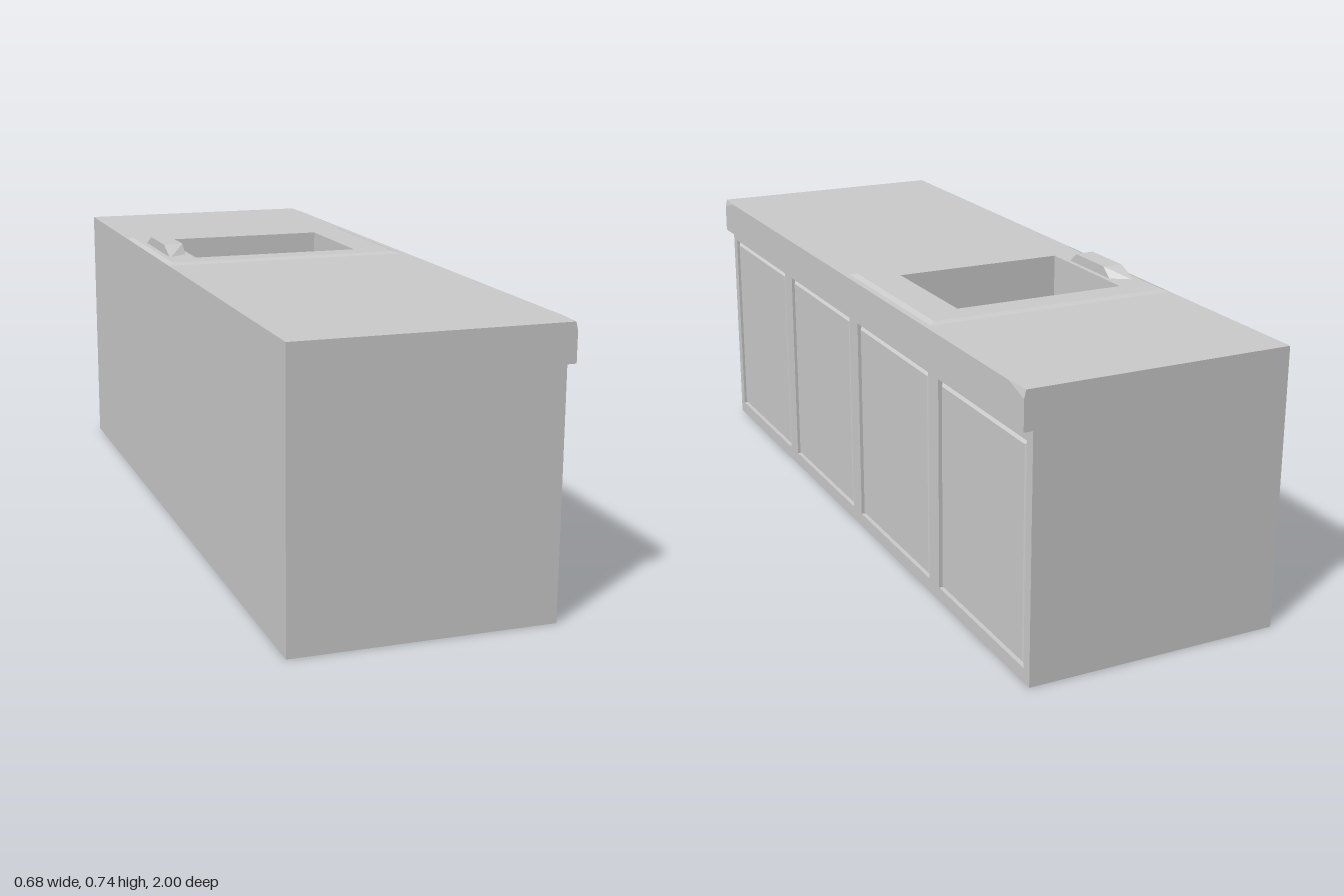
import * as THREE from 'three';
import { ConvexGeometry } from 'three/addons/geometries/ConvexGeometry.js';

const material = new THREE.MeshStandardMaterial({ color: 0xcccccc, flatShading: true });

function add(parent, name, geometry) {
  const mesh = new THREE.Mesh(geometry, material);
  mesh.name = name;
  parent.add(mesh);
  return mesh;
}

// Rectangle outline, as a Shape or as a hole Path
function rect(x0, x1, y0, y1, Type = THREE.Shape) {
  return new Type([[x0, y0], [x1, y0], [x1, y1], [x0, y1]].map(p => new THREE.Vector2(...p)));
}

// Surface stepping through nested rectangles [x0, x1, y0, y1, z]; the innermost is closed
function nestedRects(rings) {
  const pos = [];
  const corners = ([x0, x1, y0, y1, z]) => [[x0, y0, z], [x1, y0, z], [x1, y1, z], [x0, y1, z]];
  const quad = (a, b, c, d) => pos.push(...a, ...b, ...c, ...a, ...c, ...d);
  for (let r = 0; r < rings.length - 1; r++) {
    const o = corners(rings[r]), i = corners(rings[r + 1]);
    for (let k = 0; k < 4; k++) quad(o[k], o[(k + 1) % 4], i[(k + 1) % 4], i[k]);
  }
  quad(...corners(rings[rings.length - 1]));
  const g = new THREE.BufferGeometry();
  g.setAttribute('position', new THREE.Float32BufferAttribute(pos, 3));
  g.computeVertexNormals();
  return g;
}

export function createModel() {
  const model = new THREE.Group();
  model.name = 'sinkCounter';
  const back = -0.341, core = 0.3, face = 0.318, lip = 0.341;
  const top = 0.711, lipBottom = 0.615, coreTop = 0.58;

  // Cabinet body
  const body = new THREE.BoxGeometry(core - back, coreTop, 2);
  body.translate((core + back) / 2, coreTop / 2, 0);
  add(model, 'cabinetBody', body);

  // Countertop with an opening for the basin
  const sink = [-0.245, 0.215, 0.08, 0.42];
  const slab = rect(back, core, -1, 1);
  slab.holes.push(rect(...sink, THREE.Path));
  const counter = new THREE.ExtrudeGeometry(slab, { depth: top - coreTop, bevelEnabled: false });
  counter.rotateX(-Math.PI / 2).translate(0, coreTop, 0);
  add(model, 'countertop', counter);

  // Overhanging front lip with clipped end corners
  const lipPoints = [];
  for (const s of [-1, 1]) {
    for (const p of [[core, lipBottom, 1], [core, top, 1], [lip, lipBottom, 1],
      [lip, 0.69, 1], [0.336, top, 1], [lip, top, 0.93]]) {
      lipPoints.push(new THREE.Vector3(p[0], p[1], s * p[2]));
    }
  }
  add(model, 'counterLip', new ConvexGeometry(lipPoints));

  // Raised sink surround, stepping down into the basin
  const surround = nestedRects([
    [back, 0.325, 0, 0.505, top],
    [back + 0.015, 0.31, 0.015, 0.49, 0.716],
    [...sink, 0.716],
    [...sink, 0.585]
  ]);
  add(model, 'sinkBasin', surround.rotateX(-Math.PI / 2));

  // Face frame and its four grooved, bevelled door panels
  const frame = rect(-1, 1, 0, lipBottom);
  const halfWidth = 0.222, y0 = 0.036, y1 = 0.584, bevel = 0.014;
  for (const c of [-0.75, -0.25, 0.25, 0.75]) {
    const a = c - halfWidth, b = c + halfWidth;
    frame.holes.push(rect(a, b, y0, y1, THREE.Path));
    const door = nestedRects([
      [a, b, y0, y1, 0.304],
      [a + bevel, b - bevel, y0 + bevel * 0.7, y1 - bevel, 0.315]
    ]);
    add(model, 'doorPanel', door.rotateY(Math.PI / 2));
  }
  const frameGeo = new THREE.ExtrudeGeometry(frame, { depth: face - core, bevelEnabled: false });
  frameGeo.rotateY(Math.PI / 2).translate(core, 0, 0);
  add(model, 'faceFrame', frameGeo);

  // Low tapered tap block behind the basin
  const tapPoints = [];
  for (const s of [-1, 1]) {
    for (const [x, y, z] of [[-0.311, 0.713, 0.14], [-0.258, 0.713, 0.105],
      [-0.311, 0.741, 0.075], [-0.258, 0.741, 0.07]]) {
      tapPoints.push(new THREE.Vector3(x, y, -0.245 + s * z));
    }
  }
  add(model, 'tap', new ConvexGeometry(tapPoints));

  return model;
}
